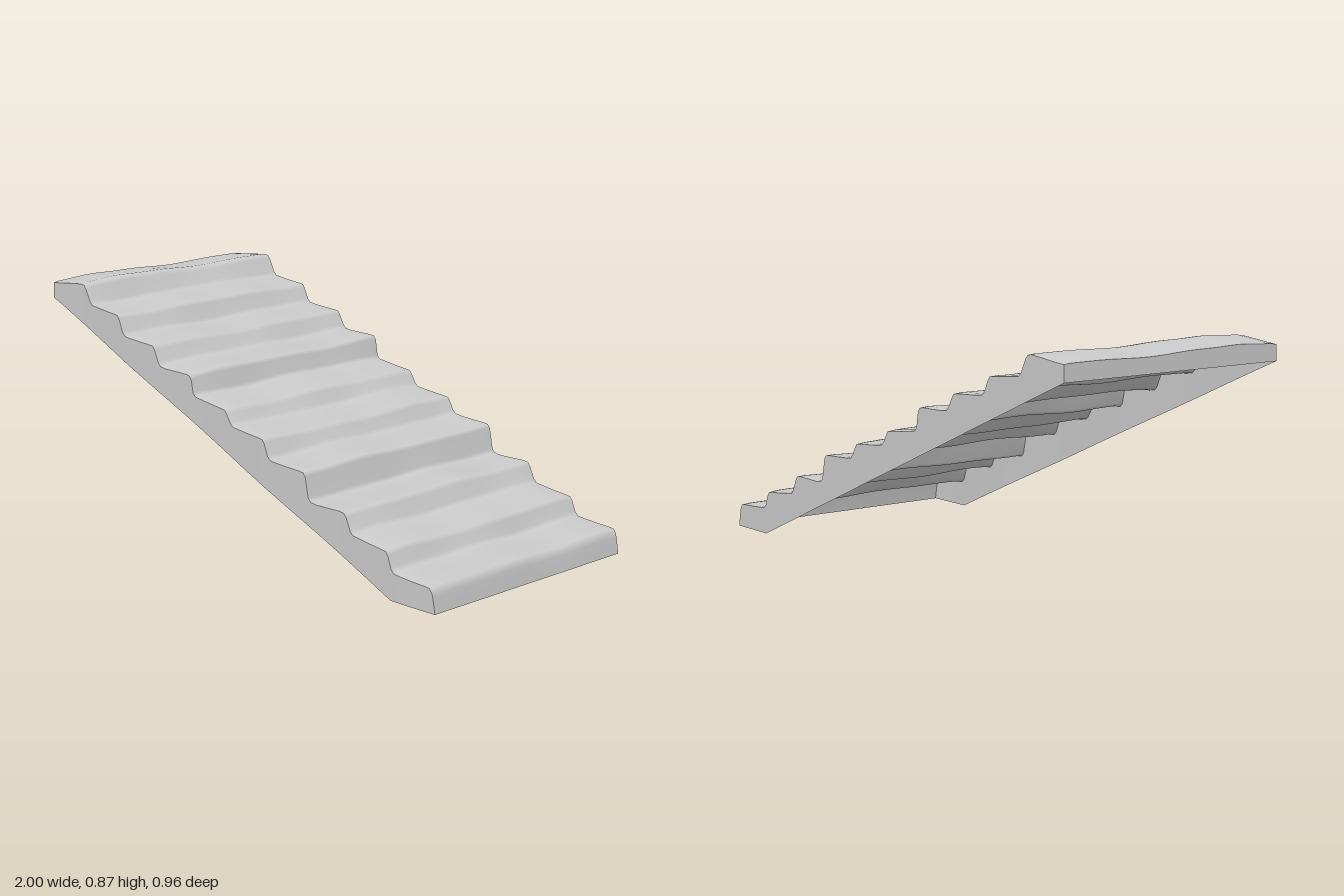
import * as THREE from 'three';

// Each step: [tread start x, y, tread end x, y], from the top down
const STEPS = [
  [-1, 0.845, -0.805, 0.858], [-0.78, 0.78, -0.605, 0.77], [-0.585, 0.692, -0.405, 0.685],
  [-0.385, 0.614, -0.208, 0.612], [-0.198, 0.527, -0.015, 0.513], [0.003, 0.45, 0.183, 0.44],
  [0.2, 0.372, 0.385, 0.366], [0.4, 0.26, 0.583, 0.262], [0.603, 0.184, 0.785, 0.171],
  [0.8, 0.099, 0.985, 0.092],
];
const ROWS = 32;

// Profile points with softened inner corners and noses: { x, y, step }
function stairProfile() {
  const points = [];
  STEPS.forEach(([x0, y0, x1, y1], step) => {
    const add = (x, y) => points.push({ x, y, step });
    if (step === 0) add(x0, y0 - 0.003);
    else {
      add(x0, y0 + 0.016);
      add(x0 + 0.012, y0 + 0.004);
    }
    add(x0 + 0.04, y0);
    add((x0 + x1) / 2, (y0 + y1) / 2);
    add(x1 - 0.03, y1);
    add(x1 - 0.01, y1 - 0.003);
    add(x1, y1 - 0.016);
  });
  points.push({ x: 0.99, y: 0.06, step: 9 }, { x: 1, y: 0, step: 9 });
  return points;
}

// Gentle hand-worn unevenness, different on each step
function wear(step, z) {
  let dy = 0.003 * Math.sin(9 * z + step * 2.1) + 0.002 * Math.sin(17 * z + step * 5);
  if (step === 0) dy += 0.009 * Math.exp(-(((z - 0.3) / 0.1) ** 2));
  return dy;
}

function stairPoint(p, t) {
  const back = -0.475 - 0.01 * p.x;
  const front = 0.472 - 0.004 * p.x + 0.003 * Math.sin(p.x * 9);
  const z = THREE.MathUtils.lerp(back, front, t);
  const worn = p.y > 0 ? wear(p.step, z) : 0;
  // the two side edges are slightly rounded over
  const edge = p.y > 0 && (t === 0 || t === 1) ? 0.003 : 0;
  return [p.x, p.y + worn - edge, z];
}

// Underside line: sloped, then level below the lowest step
const undersideY = (x) => Math.max(0, (0.78 * (0.8 - x)) / 1.8);

// Grid of points; the face normal is (v direction) x (u direction)
function sheet(name, nu, nv, pointAt, material) {
  const positions = [];
  const index = [];
  for (let i = 0; i < nu; i++) {
    for (let j = 0; j < nv; j++) {
      positions.push(...pointAt(i, j));
      if (i < nu - 1 && j < nv - 1) {
        const a = i * nv + j;
        index.push(a, a + 1, a + nv, a + 1, a + nv + 1, a + nv);
      }
    }
  }
  const geometry = new THREE.BufferGeometry();
  geometry.setAttribute('position', new THREE.Float32BufferAttribute(positions, 3));
  geometry.setIndex(index);
  geometry.computeVertexNormals();
  const mesh = new THREE.Mesh(geometry, material);
  mesh.name = name;
  return mesh;
}

export function createModel() {
  const group = new THREE.Group();
  group.name = 'staircase';
  const material = new THREE.MeshStandardMaterial({ color: 0xcccccc, side: THREE.DoubleSide });
  const profile = stairProfile();
  const n = profile.length;

  // Treads and risers as one continuous worn sheet
  group.add(sheet('stepSurface', n, ROWS + 1, (i, j) => stairPoint(profile[i], j / ROWS), material));

  // Side walls hang from the steps to the underside line; the underside is open
  for (const t of [0, 1]) {
    group.add(sheet(t ? 'frontWall' : 'backWall', 2, n, (i, j) => {
      const [x, y, z] = stairPoint(profile[t ? j : n - 1 - j], t);
      return [x, i ? y : Math.min(y, undersideY(x)), z];
    }, material));
  }

  // Short end wall below the top landing
  group.add(sheet('upperEndWall', 2, ROWS + 1, (i, j) => {
    const [x, y, z] = stairPoint(profile[0], j / ROWS);
    return [x, i ? y : undersideY(x), z];
  }, material));

  return group;
}
